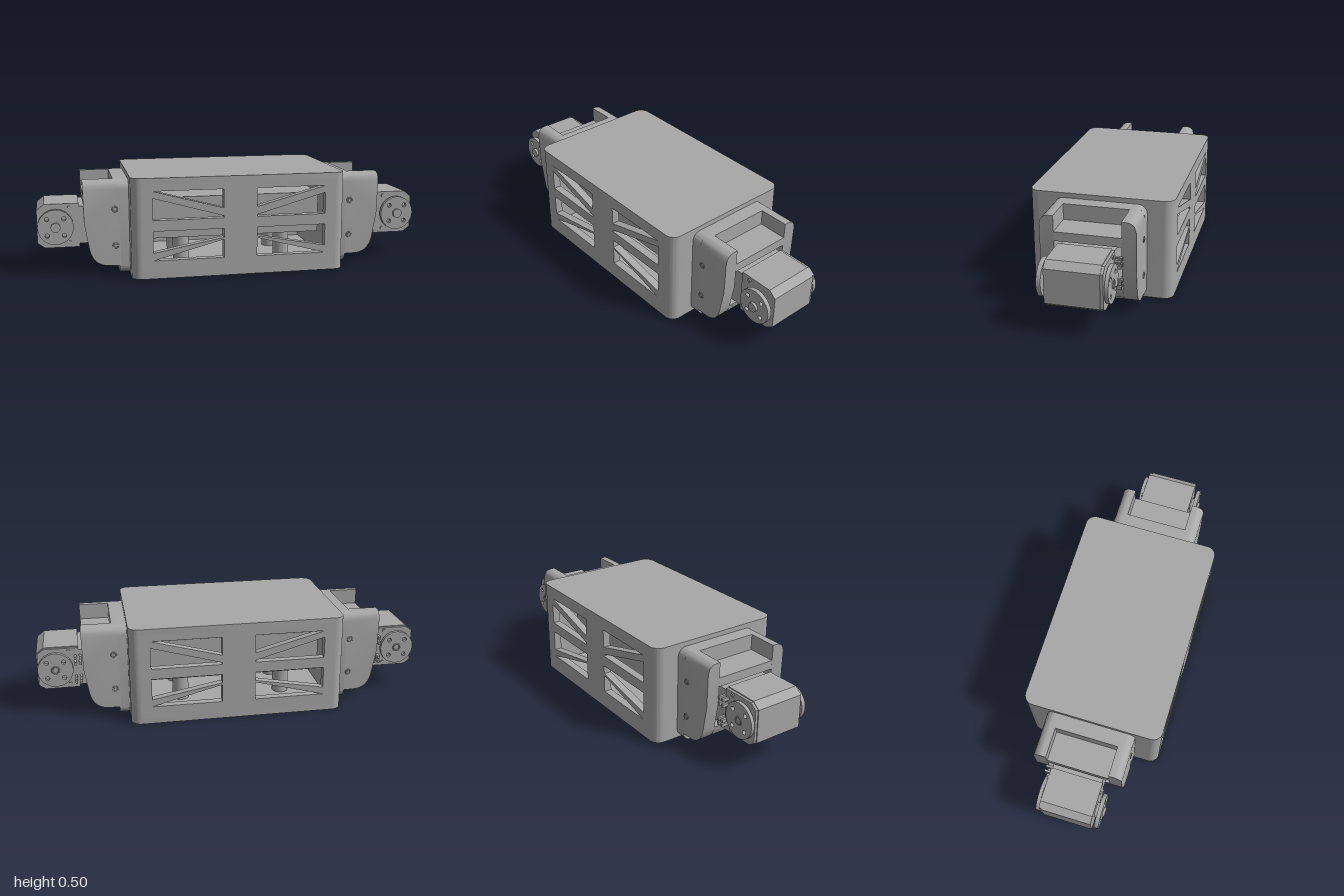
import * as THREE from 'three';
import { toCreasedNormals } from 'three/addons/utils/BufferGeometryUtils.js';

const grey = new THREE.MeshStandardMaterial({ color: 0xa8a8a8 });
grey.name = 'plain grey';

const poly = (pts) => new THREE.Shape(pts.map(([x, y]) => new THREE.Vector2(x, y)));

// Reverse the corners so that a mirrored geometry still faces outwards
function mirrorX(geo) {
  const g = geo.index ? geo.toNonIndexed() : geo.clone();
  g.scale(-1, 1, 1);
  for (const a of Object.values(g.attributes)) {
    for (let i = 0; i < a.count; i += 3) {
      for (let k = 0; k < a.itemSize; k++) {
        const t = a.getComponent(i + 1, k);
        a.setComponent(i + 1, k, a.getComponent(i + 2, k));
        a.setComponent(i + 2, k, t);
      }
    }
  }
  return g;
}

function extrudeZ(shape, z0, z1, steps = 1) {
  return new THREE.ExtrudeGeometry(shape, { depth: z1 - z0, steps, bevelEnabled: false, curveSegments: 10 })
    .translate(0, 0, z0);
}
const extrudeY = (shape, y0, y1) => extrudeZ(shape, y0, y1).rotateX(-Math.PI / 2);
const extrudeX = (shape, x0, x1) => extrudeZ(shape, x0, x1).rotateY(Math.PI / 2);

function box(x0, x1, y0, y1, z0, z1) {
  return new THREE.BoxGeometry(x1 - x0, y1 - y0, z1 - z0)
    .translate((x0 + x1) / 2, (y0 + y1) / 2, (z0 + z1) / 2);
}

function discZ(r, x, y, z0, z1, sides = 32) {
  return new THREE.CylinderGeometry(r, r, z1 - z0, sides)
    .rotateX(Math.PI / 2).translate(x, y, (z0 + z1) / 2);
}

function roundRect(x0, x1, y0, y1, r) {
  const s = new THREE.Shape();
  s.absarc(x1 - r, y0 + r, r, -Math.PI / 2, 0);
  s.absarc(x1 - r, y1 - r, r, 0, Math.PI / 2);
  s.absarc(x0 + r, y1 - r, r, Math.PI / 2, Math.PI);
  s.absarc(x0 + r, y0 + r, r, Math.PI, Math.PI * 1.5);
  return s;
}

function add(parent, name, geo) {
  const mesh = new THREE.Mesh(toCreasedNormals(geo, 0.6), grey);
  mesh.name = name;
  parent.add(mesh);
}

function buildBody() {
  const g = new THREE.Group();
  g.name = 'body';
  const X = 0.545, Z = 0.355, R = 0.05;
  add(g, 'lid', extrudeY(roundRect(-X, X, -Z, Z, R), 0.475, 0.505));
  add(g, 'floor', extrudeY(roundRect(-X, X, -Z, Z, R), 0, 0.03));

  // End walls with the rounded corners
  const end = new THREE.Shape();
  end.moveTo(X - R, -Z);
  end.absarc(X - R, -Z + R, R, -Math.PI / 2, 0);
  end.absarc(X - R, Z - R, R, 0, Math.PI / 2);
  end.lineTo(X - R, -Z);
  const endGeo = extrudeY(end, 0.03, 0.475);
  add(g, 'leftEndWall', endGeo);
  add(g, 'rightEndWall', mirrorX(endGeo));

  // Long walls with braced windows
  const wall = poly([[-X + R, 0.03], [X - R, 0.03], [X - R, 0.475], [-X + R, 0.475]]);
  const windows = [
    [[0.085, 0.44], [0.44, 0.44], [0.085, 0.345]],
    [[0.44, 0.405], [0.44, 0.295], [0.085, 0.295]],
    [[0.085, 0.195], [0.085, 0.24], [0.44, 0.24], [0.44, 0.13]],
    [[0.085, 0.185], [0.44, 0.092], [0.085, 0.092]],
  ];
  windows[1].push([0.085, 0.305]);
  for (const w of windows) {
    for (const s of [1, -1]) {
      wall.holes.push(new THREE.Path(w.map(([x, y]) => new THREE.Vector2(s * x, y))));
    }
  }
  add(g, 'frontWall', extrudeZ(wall, Z - 0.04, Z));
  add(g, 'backWall', extrudeZ(wall, -Z, -Z + 0.04));

  // Inner block on posts
  add(g, 'innerBlock', box(-0.45, 0.45, 0.17, 0.38, -0.2, 0.2));
  for (const x of [-0.27, 0.27]) {
    for (const z of [-0.12, 0.12]) {
      add(g, 'post', new THREE.CylinderGeometry(0.042, 0.042, 0.14, 24).translate(x, 0.1, z));
    }
  }
  return g;
}

// Geometry of one end, on the +x side, as [name, geometry]
function endParts() {
  const parts = [];
  const put = (name, geo) => parts.push([name, geo]);
  const W = 0.228, R = 0.045;

  // Bracket
  put('bracketFlange', extrudeX(roundRect(-W, W, 0.003, 0.48, R), 0.54, 0.597));
  const cheek = new THREE.Shape();
  cheek.moveTo(0.59, 0.48);
  cheek.lineTo(0.59, 0.045);
  cheek.lineTo(0.66, 0.047);
  cheek.bezierCurveTo(0.71, 0.052, 0.735, 0.085, 0.745, 0.13);
  cheek.lineTo(0.768, 0.26);
  cheek.lineTo(0.772, 0.48);
  cheek.closePath();
  for (const s of [1, -1]) {
    const geo = s > 0 ? extrudeZ(cheek, 0.16, W, 10) : extrudeZ(cheek, -W, -0.16, 10);
    // Round the outer top edge
    const p = geo.attributes.position;
    for (let i = 0; i < p.count; i++) {
      if (p.getY(i) < 0.479) continue;
      const d = Math.max(0, Math.abs(p.getZ(i)) - (W - R));
      p.setY(i, 0.48 - R + Math.sqrt(Math.max(0, R * R - d * d)));
    }
    put('bracketCheek', geo);
    for (const y of [0.15, 0.335]) {
      const z = s * (W + 0.001);
      put('bracketScrew', new THREE.TorusGeometry(0.013, 0.003, 6, 20).translate(0.615, y, z));
      put('bracketScrew', discZ(0.007, 0.615, y, z - 0.003, z + 0.003, 16));
    }
  }
  put('bracketBackWall', box(0.59, 0.62, 0.045, 0.48, -0.16, 0.16));
  put('bracketDeck', box(0.62, 0.77, 0.355, 0.4, -0.16, 0.16));
  put('bracketLip', extrudeZ(poly([[0.62, 0.08], [0.726, 0.08], [0.737, 0.1], [0.745, 0.13], [0.62, 0.13]]), -0.16, 0.16));

  // Motor
  put('motorRear', box(0.62, 0.8, 0.147, 0.338, -0.13, 0.13));
  const profile = (d) => poly([[0.79, 0.13 + d], [0.963, 0.13 + d], [1 - d, 0.157], [1 - d, 0.325],
    [0.963, 0.355 - d], [0.79, 0.355 - d]]);
  put('motorCase', extrudeZ(profile(0), -0.122, 0.135));
  put('motorCap', extrudeZ(profile(0.005), -0.135, -0.122));
  for (const s of [1, -1]) {
    for (const y of [0.155, 0.335]) put('motorScrew', discZ(0.009, 0.838, y, s * 0.137 - 0.004, s * 0.137 + 0.004, 12));
  }

  // Horns with screw holes
  const cx = 0.908, cy = 0.242;
  const horn = new THREE.Shape().absarc(cx, cy, 0.09, 0, Math.PI * 2);
  for (let i = 0; i < 4; i++) {
    const a = Math.PI / 4 + i * Math.PI / 2;
    horn.holes.push(new THREE.Path().absarc(cx + 0.06 * Math.cos(a), cy + 0.06 * Math.sin(a), 0.011, 0, Math.PI * 2));
  }
  put('frontHorn', extrudeZ(horn, 0.15, 0.171));
  put('frontCollar', discZ(0.04, cx, cy, 0.13, 0.152));
  put('frontHub', discZ(0.024, cx, cy, 0.168, 0.184));
  put('backHorn', extrudeZ(horn, -0.157, -0.139));
  put('backCollar', discZ(0.045, cx, cy, -0.142, -0.13));
  put('backHub', new THREE.TorusGeometry(0.018, 0.005, 8, 24).translate(cx, cy, -0.157));

  // Connector pins beside the back horn
  for (const y of [0.172, 0.195, 0.275, 0.305]) {
    for (const x of [0.775, 0.8]) put('connectorPin', box(x, x + 0.012, y - 0.008, y + 0.008, -0.169, -0.12));
  }
  return parts;
}

export function createModel() {
  const model = new THREE.Group();
  model.name = 'motorModule';
  model.add(buildBody());

  // Both ends mirror each other
  const left = new THREE.Group(), right = new THREE.Group();
  left.name = 'leftEnd';
  right.name = 'rightEnd';
  for (const [name, geo] of endParts()) {
    add(left, name, geo);
    add(right, name, mirrorX(geo));
  }
  model.add(left, right);
  return model;
}
